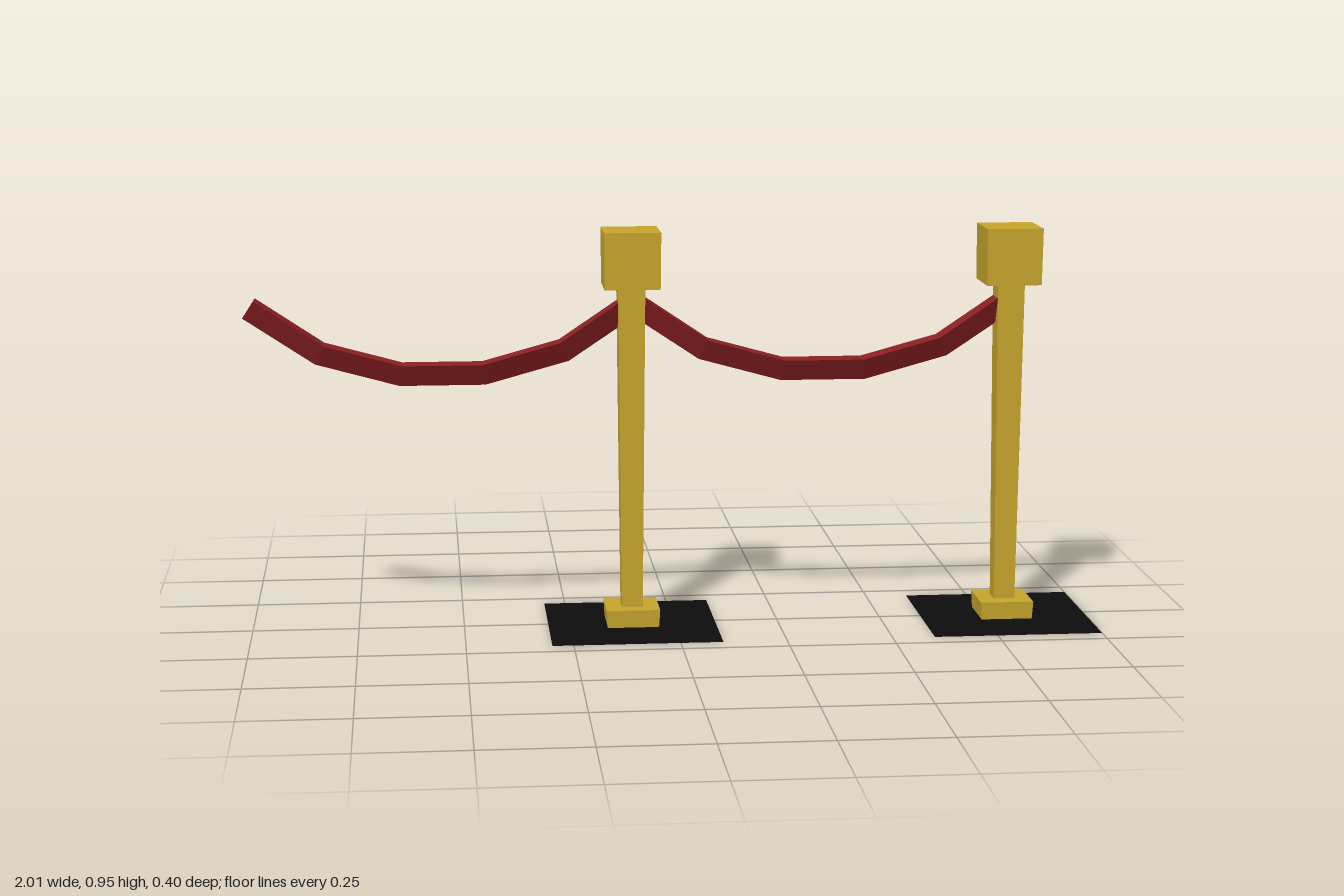
import * as THREE from 'three';

const flat = (name, color, extra = {}) => {
  const m = new THREE.MeshStandardMaterial({ color, flatShading: true, ...extra });
  m.name = name;
  return m;
};

// Square block whose half width changes from bottom to top
function taperedBlock(name, halfBottom, halfTop, y0, y1, material) {
  const s = Math.SQRT2;
  const geo = new THREE.CylinderGeometry(halfTop * s, halfBottom * s, y1 - y0, 4);
  geo.rotateY(Math.PI / 4);
  geo.translate(0, (y0 + y1) / 2, 0);
  const mesh = new THREE.Mesh(geo, material);
  mesh.name = name;
  return mesh;
}

// Three-sided rope with a flat top, mitred at every joint of the path
function ropeGeometry(path, radius) {
  const rings = path.map((p, i) => {
    const before = path[Math.max(i - 1, 0)];
    const after = path[Math.min(i + 1, path.length - 1)];
    const t = after.clone().sub(before).normalize();
    const corner = (up, z) => [p.x - t.y * up * radius, p.y + t.x * up * radius, z * radius];
    return [corner(0.5, 0.866), corner(0.5, -0.866), corner(-1, 0)];
  });
  const pos = [];
  const tri = (a, b, c) => pos.push(...a, ...b, ...c);
  for (let i = 0; i < rings.length - 1; i++) {
    for (let k = 0; k < 3; k++) {
      const n = (k + 1) % 3;
      const [a, b, c, d] = [rings[i][k], rings[i + 1][k], rings[i + 1][n], rings[i][n]];
      tri(a, b, c);
      tri(a, c, d);
    }
  }
  // End caps
  const first = rings[0], last = rings[rings.length - 1];
  tri(first[0], first[1], first[2]);
  tri(last[0], last[2], last[1]);
  const geo = new THREE.BufferGeometry();
  geo.setAttribute('position', new THREE.Float32BufferAttribute(pos, 3));
  geo.computeVertexNormals();
  return geo;
}

export function createModel() {
  const gold = flat('gold', 0xc6a52d);
  const red = flat('ropeRed', 0x8c2022);
  const black = flat('matBlack', 0x0d0d0d, { side: THREE.DoubleSide });

  const model = new THREE.Group();
  model.name = 'ropeBarrier';

  // Sagging path, symmetric about its middle
  const half = [[-0.443, 0.777], [-0.282, 0.669], [-0.096, 0.618]];
  const path = [
    ...half.map(([x, y]) => new THREE.Vector2(x, y)),
    ...half.slice().reverse().map(([x, y]) => new THREE.Vector2(-x, y)),
  ];
  const ropeGeo = ropeGeometry(path, 0.0345);

  [[-0.1, 'middle'], [0.8, 'left']].forEach(([x, side]) => {
    // Post with its foot, cap and floor mat
    const post = new THREE.Group();
    post.name = side + 'Post';
    post.position.x = x;
    const mat = new THREE.Mesh(new THREE.PlaneGeometry(0.4, 0.4).rotateX(-Math.PI / 2), black);
    mat.name = 'floorMat';
    post.add(
      mat,
      taperedBlock('foot', 0.061, 0.0635, 0.003, 0.045, gold),
      taperedBlock('shaft', 0.025, 0.032, 0.04, 0.82, gold),
      taperedBlock('cap', 0.065, 0.0665, 0.812, 0.946, gold),
    );
    model.add(post);

    // Rope hanging off the post towards the right
    const rope = new THREE.Mesh(ropeGeo, red);
    rope.name = side + 'Rope';
    rope.position.x = x - 0.443;
    model.add(rope);
  });
  return model;
}
